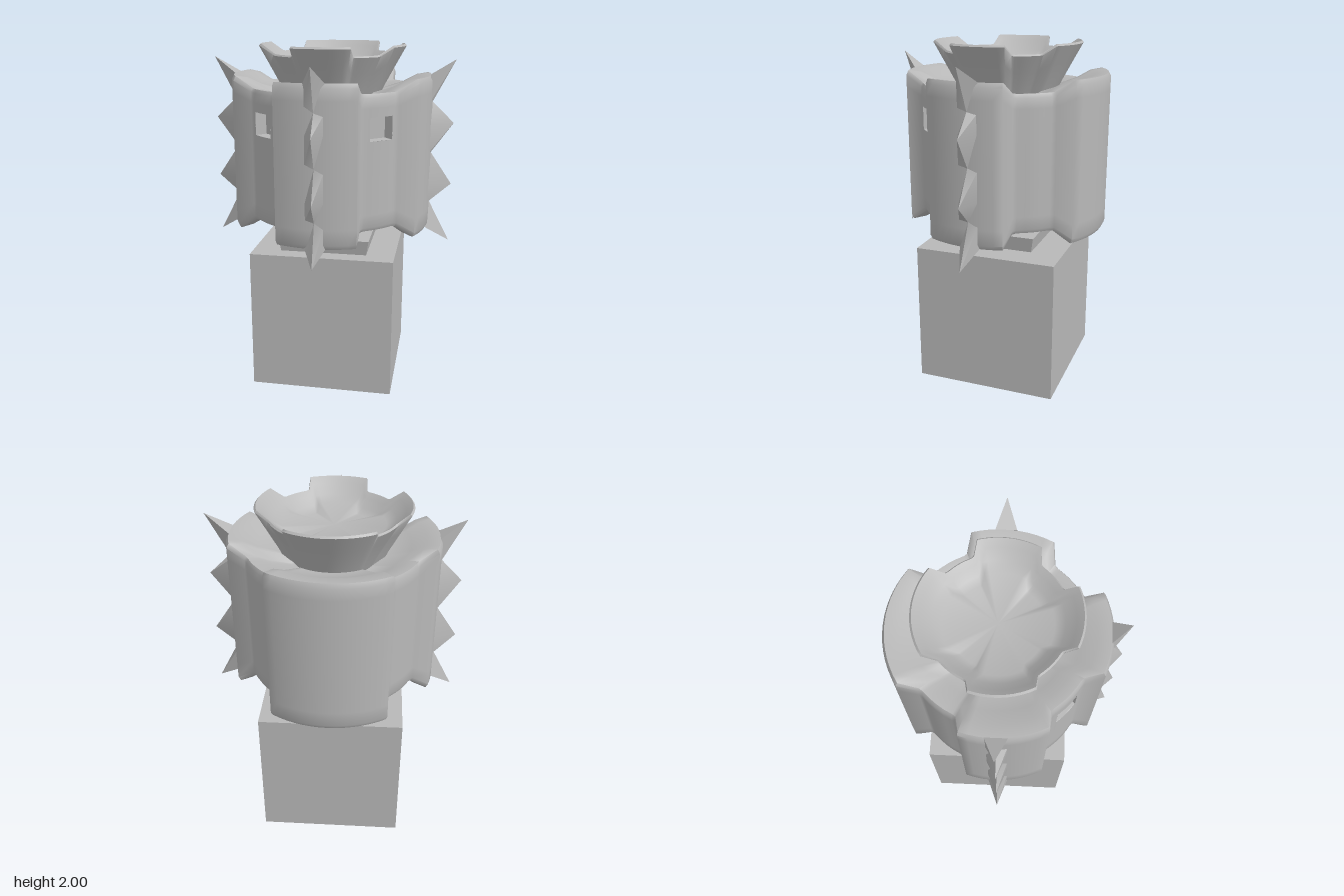
import * as THREE from 'three';
import { toCreasedNormals } from 'three/addons/utils/BufferGeometryUtils.js';

const RAD = Math.PI / 180;
const AXIS_Z = -0.04;

// Azimuth in degrees from the front against radial scale: wide lobes, narrower notches.
const LOBES = [[0, 1], [22.7, 1], [27.4, 0.86], [30, 0.85], [33.4, 0.85], [50.4, 0.85], [53, 0.85], [55.7, 0.86],
  [62.3, 1], [107, 1], [112.4, 0.86], [115, 0.85], [137, 0.85], [140, 0.86], [146.5, 1], [180, 1]];
const EYE = { from: 33.4, to: 50.4, low: 1.531, high: 1.683 };

// Half circle of [azimuth, scale] samples, mirrored to a full turn.
function lobeSamples() {
  const half = [];
  for (let k = 0; k < LOBES.length - 1; k++) {
    const [a, s] = LOBES[k], [b, t] = LOBES[k + 1];
    const n = Math.max(1, Math.round((b - a) / 5));
    for (let i = 0; i < n; i++) half.push([a + (b - a) * i / n, s + (t - s) * i / n]);
  }
  half.push([180, 1]);
  return [...half.slice(1).reverse().map(([a, s]) => [-a, s]), ...half];
}

// Lobed lathe: the [radius, y] profile shrinks about height yc in the notches.
function lobedLathe(profile, yc, isHole = () => false) {
  const cols = lobeSamples(), n = profile.length;
  const pos = [], index = [];
  for (const [az, s] of cols) {
    for (const [r, y] of profile) {
      const f = 1 - (1 - s) * Math.min(1, r / 0.28);
      pos.push(Math.sin(az * RAD) * r * s, yc + (y - yc) * f, Math.cos(az * RAD) * r * s);
    }
  }
  for (let j = 0; j < cols.length - 1; j++) {
    for (let i = 0; i < n - 1; i++) {
      const az = Math.abs(cols[j][0] + cols[j + 1][0]) / 2;
      if (isHole(az, (profile[i][1] + profile[i + 1][1]) / 2, profile[i][0])) continue;
      const a = j * n + i, b = a + n;
      index.push(a, b, b + 1, a, b + 1, a + 1);
    }
  }
  const geo = new THREE.BufferGeometry();
  geo.setAttribute('position', new THREE.Float32BufferAttribute(pos, 3));
  geo.setIndex(index);
  return toCreasedNormals(geo, 1.15);
}

// Zigzag wedge of spikes pointing along +z.
function spikeRow(tip) {
  const base = 0.57, valley = 0.585, half = 0.058;
  const ridge = [[tip, 0.85], [valley, 1.09], [tip, 1.2], [valley, 1.385], [tip, 1.56], [valley, 1.68], [tip, 1.92]];
  const pos = [], index = [];
  for (const [z, y] of ridge) {
    const by = THREE.MathUtils.clamp(y, 0.94, 1.83);
    pos.push(-half, by, base, 0, y, z, half, by, base);
  }
  for (let i = 0; i < ridge.length - 1; i++) {
    for (const k of [0, 1]) {
      const a = i * 3 + k;
      index.push(a, a + 1, a + 4, a, a + 4, a + 3);
    }
  }
  const t = (ridge.length - 1) * 3;
  index.push(0, 2, 1, t, t + 1, t + 2);
  const geo = new THREE.BufferGeometry();
  geo.setAttribute('position', new THREE.Float32BufferAttribute(pos, 3));
  geo.setIndex(index);
  return toCreasedNormals(geo, 0.7);
}

export function createModel() {
  const model = new THREE.Group();
  const grey = new THREE.MeshStandardMaterial({ color: 0xb8b8b8, side: THREE.DoubleSide });
  grey.name = 'plain grey';
  const add = (name, geo, x = 0, y = 0, z = 0, turn = 0) => {
    const mesh = new THREE.Mesh(geo, grey);
    mesh.name = name;
    mesh.position.set(x, y, z);
    mesh.rotation.y = turn;
    model.add(mesh);
    return mesh;
  };

  // Pedestal, flared plate and short post
  add('pedestal', new THREE.BoxGeometry(0.83, 0.83, 0.83), 0, 0.415, AXIS_Z);
  const plate = new THREE.CylinderGeometry(0.265 * Math.SQRT2, 0.25 * Math.SQRT2, 0.09, 4).toNonIndexed();
  plate.rotateY(Math.PI / 4).scale(1, 1, 1.1);
  plate.computeVertexNormals();
  add('plate', plate, 0, 0.872, 0.005);
  add('post', new THREE.BoxGeometry(0.16, 0.2, 0.16), 0, 1.0, AXIS_Z);

  // Lobed body with two square eye openings
  const body = [[0.001, 1.03], [0.28, 1.03], [0.42, 0.99], [0.5, 0.955], [0.572, 0.94], [0.585, 0.965], [0.585, 1.05],
    [0.585, EYE.low], [0.585, EYE.high], [0.585, 1.74], [0.585, 1.805], [0.572, 1.83],
    [0.5, 1.82], [0.42, 1.78], [0.29, 1.74], [0.001, 1.74]];
  const eyeHole = (az, y, r) => r > 0.58 && az > EYE.from && az < EYE.to && y > EYE.low && y < EYE.high;
  add('body', lobedLathe(body, 1.385, eyeHole), 0, 0, AXIS_Z);

  // Eye pockets: boxes without their front face
  for (const side of [1, -1]) {
    const pocket = new THREE.BoxGeometry(0.148, 0.13, 0.07);
    const faces = Array.from(pocket.index.array);
    faces.splice(24, 6);
    pocket.setIndex(faces);
    pocket.clearGroups();
    const az = side * 41.9 * RAD, r = 0.457;
    add(side > 0 ? 'leftEye' : 'rightEye', pocket, Math.sin(az) * r, 1.574, AXIS_Z + Math.cos(az) * r, az);
  }

  // Flared lobed cup on top, with a shallow floor
  const cup = [[0.25, 1.65], [0.305, 1.77], [0.37, 1.89], [0.425, 1.99], [0.415, 2.0],
    [0.38, 1.97], [0.33, 1.92], [0.28, 1.89], [0.001, 1.88]];
  add('cup', lobedLathe(cup, 1.65), 0, 0, AXIS_Z);

  // Spikes on the front and both sides
  add('frontSpikes', spikeRow(0.662), 0, 0, AXIS_Z);
  add('leftSpikes', spikeRow(0.71), 0, 0, -0.025, Math.PI / 2);
  add('rightSpikes', spikeRow(0.71), 0, 0, -0.025, -Math.PI / 2);
  return model;
}
